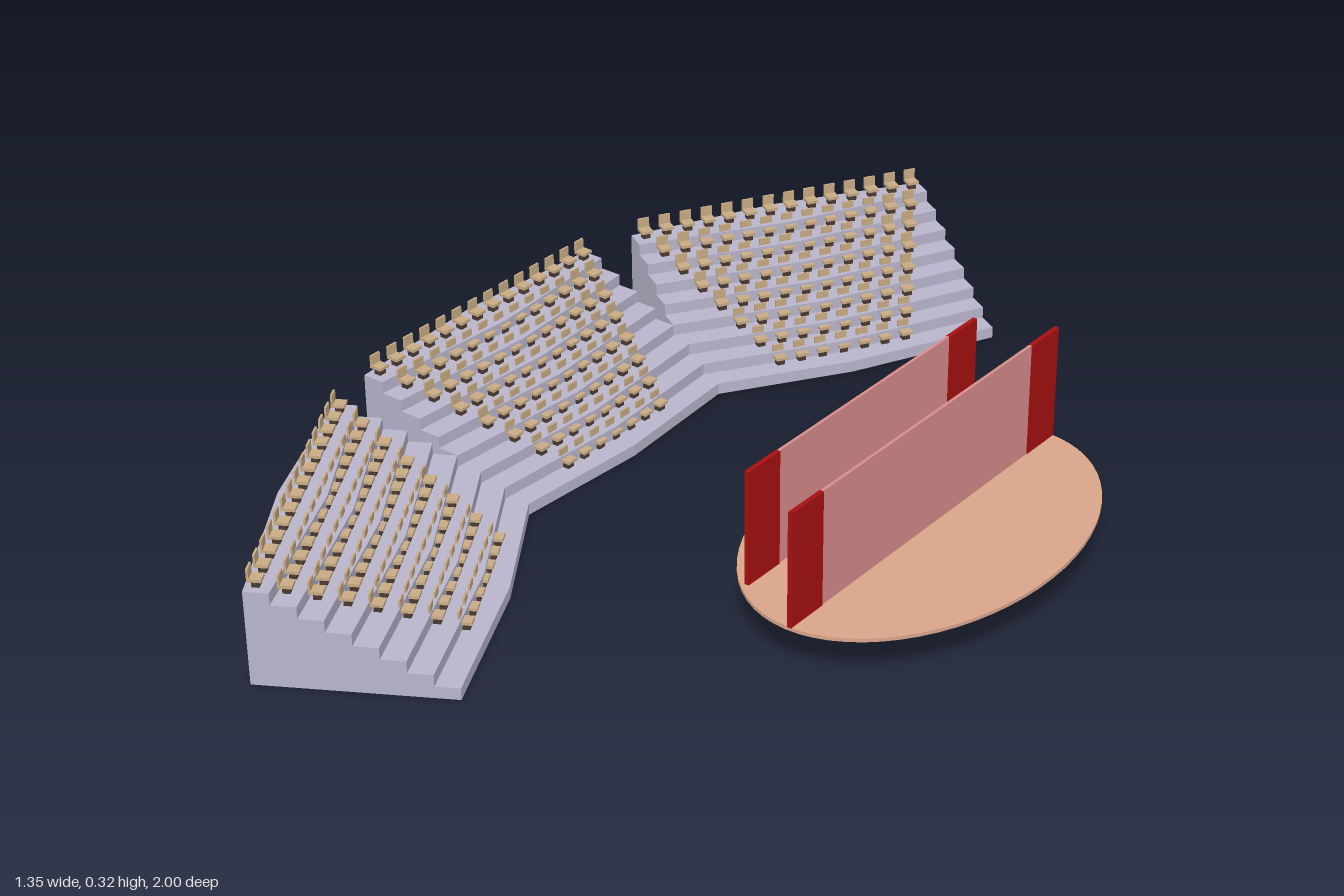
import * as THREE from 'three';
import { mergeGeometries } from 'three/addons/utils/BufferGeometryUtils.js';

const TIERS = 8, RISE = 0.0235, TREAD = 0.0459;
const DEPTH = TIERS * TREAD, HALF = 0.323, BULGE = 0.022;

const mat = (color) => {
  const m = new THREE.MeshStandardMaterial();
  m.color.set(color);
  return m;
};
const concrete = mat(0xb8b5cc), seatTan = mat(0xc8ab84), seatDark = mat(0x4a3a30);
const wood = mat(0xd8a48a), green = mat(0x00a085), red = mat(0xa81010), pink = mat(0xd88c8c);

function mesh(geometry, material, name) {
  const m = new THREE.Mesh(geometry, material);
  m.name = name;
  return m;
}

function box(w, h, d, x, y, z) {
  return new THREE.BoxGeometry(w, h, d).translate(x, y, z);
}

// One tier: a slab with a bent front edge and a bent back wall
function tierGeometry(k) {
  const front = DEPTH - k * TREAD;
  const shape = new THREE.Shape([
    [0, -HALF], [front, -HALF], [front + BULGE, 0],
    [front, HALF], [0, HALF], [-BULGE, 0],
  ].map(([x, y]) => new THREE.Vector2(x, y)));
  return new THREE.ExtrudeGeometry(shape, { depth: RISE, bevelEnabled: false })
    .rotateX(-Math.PI / 2)
    .translate(0, k * RISE, 0);
}

// A row of seats facing +x, centred on z = 0
function seatRow(k) {
  const count = 7 + k, shells = [], posts = [];
  const x = DEPTH - (k + 0.5) * TREAD - 0.004, y = (k + 1) * RISE;
  for (let i = 0; i < count; i++) {
    const z = (i - (count - 1) / 2) * 0.046;
    shells.push(box(0.024, 0.006, 0.024, x, y + 0.015, z));
    shells.push(box(0.004, 0.026, 0.024, x - 0.012, y + 0.025, z));
    posts.push(box(0.014, 0.012, 0.016, x, y + 0.006, z));
  }
  const row = new THREE.Group();
  row.name = 'seatRow';
  row.add(mesh(mergeGeometries(shells), seatTan, 'seats'),
    mesh(mergeGeometries(posts), seatDark, 'seatPosts'));
  return row;
}

// Stepped grandstand block, origin at the middle of its back edge
function stand(name) {
  const group = new THREE.Group();
  group.name = name;
  for (let k = 0; k < TIERS; k++) {
    group.add(mesh(tierGeometry(k), concrete, 'tier'), seatRow(k));
  }
  return group;
}

// Upright screen with a red panel at each end
function screen(x, half) {
  const group = new THREE.Group();
  group.name = 'screen';
  const base = 0.093, height = 0.23, end = 0.09, y = base + height / 2;
  group.add(mesh(box(0.006, height, 2 * (half - end), x, y, 0), pink, 'screenPanel'));
  for (const s of [-1, 1]) {
    group.add(mesh(box(0.009, height, end, x, y, s * (half - end / 2)), red, 'screenEnd'));
  }
  return group;
}

// Oval slab
function oval(rx, rz, bottom, top) {
  return new THREE.CylinderGeometry(1, 1, top - bottom, 64)
    .scale(rx, 1, rz)
    .translate(0.3985, (bottom + top) / 2, 0);
}

export function createModel() {
  const model = new THREE.Group();
  model.name = 'openAirTheatre';

  // Three stands wrapped around the stage
  const centre = stand('centreStand');
  centre.position.set(-0.657, 0, 0);
  model.add(centre);
  for (const s of [-1, 1]) {
    const wing = stand('wingStand');
    wing.position.set(-0.466, 0, s * 0.718);
    wing.rotation.y = s * Math.PI / 6;
    model.add(wing);
  }

  // Raised oval stage with an inset underside
  const stage = new THREE.Group();
  stage.name = 'stage';
  stage.add(mesh(oval(0.277, 0.413, 0.087, 0.094), wood, 'stageDeck'));
  stage.add(mesh(oval(0.25, 0.372, 0.086, 0.09), green, 'stageUnderside'));
  stage.add(screen(0.268, 0.35), screen(0.407, 0.413));
  model.add(stage);
  return model;
}
